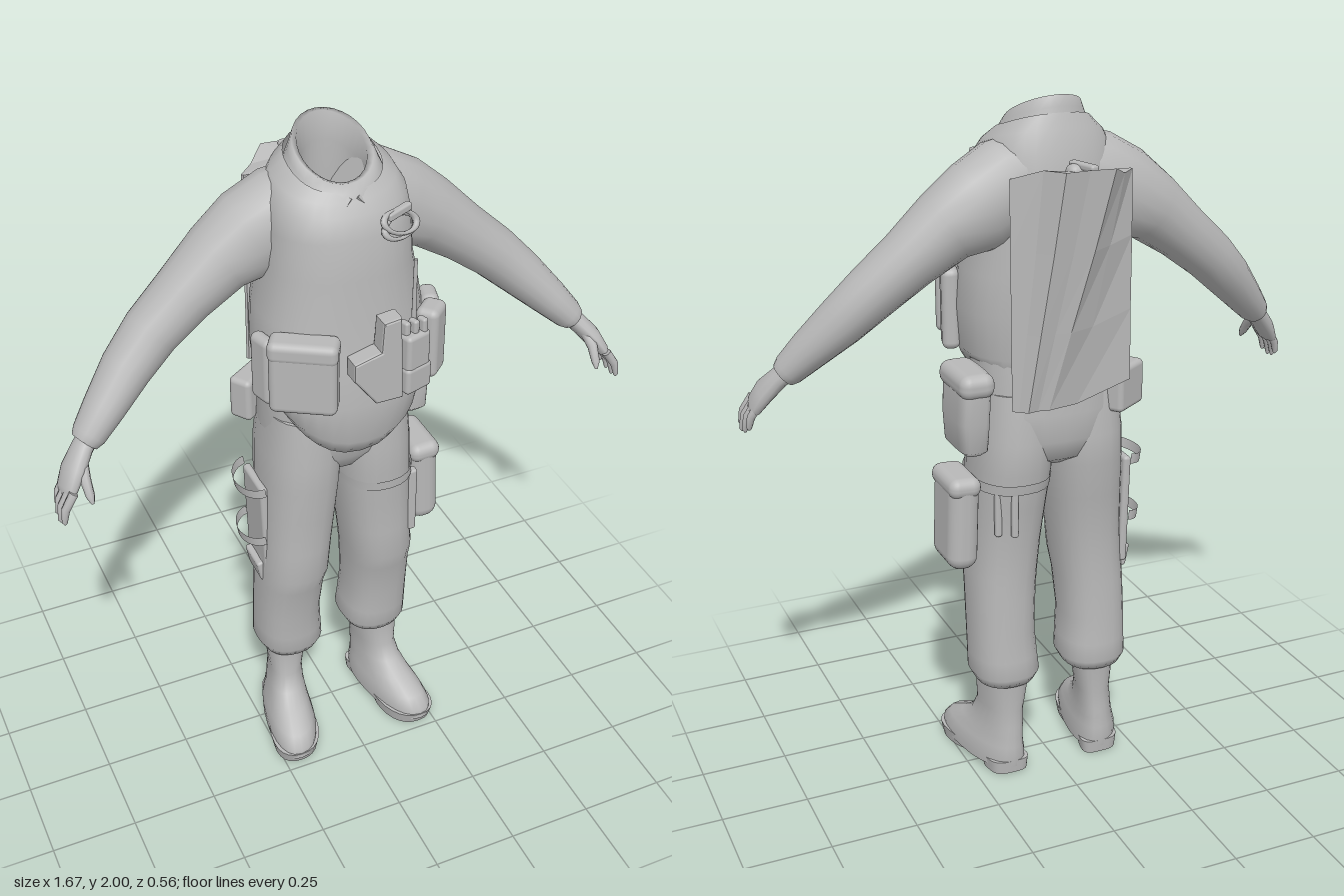
import * as THREE from 'three';
import { RoundedBoxGeometry } from 'three/addons/geometries/RoundedBoxGeometry.js';

const V = (x, y, z) => new THREE.Vector3(x, y, z);
const grey = new THREE.MeshStandardMaterial({ color: 0xb8b8b8, side: THREE.DoubleSide });
grey.name = 'grey';

// Skin a list of closed rings, with optional end caps
function skin(rings, capStart = true, capEnd = true) {
  const n = rings[0].length, pos = [], idx = [];
  rings.forEach(r => r.forEach(p => pos.push(p.x, p.y, p.z)));
  for (let i = 0; i < rings.length - 1; i++) for (let j = 0; j < n; j++) {
    const a = i * n + j, b = i * n + (j + 1) % n;
    idx.push(a, a + n, b, b, a + n, b + n);
  }
  const cap = (k, flip) => {
    const c = V(0, 0, 0);
    rings[k].forEach(p => c.addScaledVector(p, 1 / n));
    const base = pos.length / 3;
    rings[k].forEach(p => pos.push(p.x, p.y, p.z));
    pos.push(c.x, c.y, c.z);
    for (let j = 0; j < n; j++) {
      const a = base + j, b = base + (j + 1) % n;
      flip ? idx.push(a, b, base + n) : idx.push(b, a, base + n);
    }
  };
  if (capStart) cap(0, true);
  if (capEnd) cap(rings.length - 1, false);
  const g = new THREE.BufferGeometry();
  g.setAttribute('position', new THREE.Float32BufferAttribute(pos, 3));
  g.setIndex(idx);
  g.computeVertexNormals();
  return g;
}

const pow = (v, e) => Math.sign(v) * Math.abs(v) ** e;

// Level sections, bottom to top: [y, centreX, halfWidth, zFront, zBack, tilt, bow]
function loft(sections, { s = 1, e = 0.85, n = 24, yaw = 0, caps = [true, true] } = {}) {
  return skin(sections.map(([y, cx, rx, f, b, tilt = 0, bow = 0]) => Array.from({ length: n }, (_, j) => {
    const a = j / n * Math.PI * 2, c = Math.cos(a), d = Math.sin(a);
    const z = (f + b) / 2 + (f - b) / 2 * pow(d, e);
    return V(s * cx + rx * pow(c, e) + s * yaw * z, y + tilt * d + bow * c * c, z);
  })), ...caps);
}

// Limb along a path: [x, y, z, radius in the limb's plane, radius across]
function limb(nodes, s = 1, n = 16) {
  const pts = nodes.map(p => V(s * p[0], p[1], p[2]));
  return skin(pts.map((p, i) => {
    const t = pts[Math.min(i + 1, pts.length - 1)].clone().sub(pts[Math.max(i - 1, 0)]).normalize();
    const u = t.clone().cross(V(0, 0, 1)).normalize(), v = u.clone().cross(t);
    return Array.from({ length: n }, (_, j) => {
      const a = j / n * Math.PI * 2;
      return p.clone().addScaledVector(u, Math.cos(a) * nodes[i][3]).addScaledVector(v, Math.sin(a) * nodes[i][4]);
    });
  }));
}

function flat(g) {
  const f = g.toNonIndexed();
  f.computeVertexNormals();
  return f;
}

export function createModel() {
  const model = new THREE.Group();
  const add = (name, geo, x = 0, y = 0, z = 0, rx = 0, ry = 0, rz = 0) => {
    const m = new THREE.Mesh(geo, grey);
    m.name = name;
    m.position.set(x, y, z);
    m.rotation.set(rx, ry, rz);
    model.add(m);
    return m;
  };
  const box = (name, w, h, d, x, y, z, ry = 0, rz = 0, r = 0.02) =>
    add(name, new RoundedBoxGeometry(w, h, d, 3, Math.min(r, w / 2.1, h / 2.1, d / 2.1)), x, y, z, 0, ry, rz);

  // Jacket with a hanging rounded hem, then an open collar turning inside
  add('jacket', loft([
    [1.20, 0, 0.19, 0.15, -0.12, -0.05, 0.09], [1.165, 0, 0.195, 0.20, -0.14, -0.04, 0.10],
    [1.20, 0, 0.21, 0.235, -0.15, -0.02, 0.08], [1.30, 0, 0.225, 0.24, -0.16], [1.42, 0, 0.235, 0.225, -0.165],
    [1.53, 0, 0.225, 0.21, -0.17], [1.66, 0, 0.20, 0.20, -0.17], [1.77, 0, 0.195, 0.19, -0.165],
    [1.84, 0, 0.185, 0.165, -0.15, -0.015], [1.885, 0, 0.16, 0.14, -0.13, -0.03],
    [1.915, 0, 0.122, 0.125, -0.115, -0.04]], { n: 32, caps: [true, false] }));
  add('collar', loft([
    [1.89, 0, 0.128, 0.145, -0.12, -0.045], [1.92, 0, 0.114, 0.132, -0.11, -0.05], [1.945, 0, 0.102, 0.112, -0.104, -0.055],
    [1.941, 0, 0.088, 0.094, -0.094, -0.055], [1.87, 0, 0.08, 0.085, -0.085, -0.05], [1.76, 0, 0.09, 0.09, -0.09]],
    { n: 28, e: 1, caps: [false, true] }));
  for (const s of [-1, 1]) {
    const flap = new THREE.Shape([[0.005, 0.02], [0.095, 0.1], [0.105, 0.05], [0.055, -0.025]].map(p => new THREE.Vector2(s * p[0], p[1])));
    add('collarFlap', new THREE.ExtrudeGeometry(flap, { depth: 0.01, bevelEnabled: false }), 0, 1.845, 0.15, -0.75, s * 0.5);
  }

  // Trousers
  add('trouserSeat', loft([[0.97, 0, 0.06, 0.05, -0.09], [1.0, 0, 0.14, 0.10, -0.14],
    [1.06, 0, 0.195, 0.14, -0.162], [1.14, 0, 0.212, 0.155, -0.165], [1.3, 0, 0.205, 0.15, -0.15]]));
  for (const s of [-1, 1]) {
    add('trouserLeg', loft([[0.33, 0.145, 0.06, 0.05, -0.10], [0.295, 0.14, 0.085, 0.07, -0.12],
      [0.325, 0.14, 0.101, 0.085, -0.135], [0.38, 0.142, 0.098, 0.09, -0.13], [0.46, 0.145, 0.095, 0.095, -0.125],
      [0.58, 0.14, 0.098, 0.115, -0.12], [0.64, 0.135, 0.1, 0.138, -0.12], [0.74, 0.127, 0.103, 0.135, -0.12],
      [0.86, 0.118, 0.108, 0.14, -0.135], [0.97, 0.11, 0.112, 0.147, -0.154], [1.06, 0.106, 0.112, 0.15, -0.158],
      [1.2, 0.1, 0.105, 0.14, -0.14]], { s }));

    // Boots with separate heel and sole
    add('boot', loft([[0.02, 0.163, 0.075, 0.235, -0.115], [0.055, 0.163, 0.076, 0.235, -0.118],
      [0.085, 0.162, 0.068, 0.205, -0.115], [0.115, 0.16, 0.06, 0.14, -0.112], [0.15, 0.158, 0.055, 0.085, -0.11],
      [0.2, 0.155, 0.052, 0.058, -0.105], [0.28, 0.152, 0.062, 0.055, -0.11], [0.36, 0.149, 0.066, 0.055, -0.115]], { s, yaw: 0.17 }));
    add('heel', loft([[0, 0.163, 0.055, -0.015, -0.112], [0.04, 0.163, 0.06, -0.005, -0.115]], { s, yaw: 0.17, e: 0.6 }));
    add('sole', loft([[0, 0.163, 0.07, 0.225, 0.04], [0.04, 0.163, 0.077, 0.237, 0.02]], { s, yaw: 0.17 }));

    // Sleeve and cuff
    add('sleeve', limb([[0.04, 1.80, -0.03, 0.11, 0.1], [0.12, 1.765, -0.04, 0.13, 0.112], [0.21, 1.715, -0.05, 0.128, 0.108],
      [0.3, 1.67, -0.045, 0.1, 0.1], [0.4, 1.59, -0.037, 0.083, 0.088], [0.5, 1.508, -0.024, 0.075, 0.08],
      [0.58, 1.432, 0, 0.067, 0.073], [0.66, 1.352, 0.038, 0.054, 0.062], [0.71, 1.3, 0.06, 0.044, 0.052],
      [0.725, 1.285, 0.065, 0.036, 0.042]], s));

    // Hand
    add('palm', limb([[0.7, 1.31, 0.055, 0.027, 0.034], [0.735, 1.275, 0.075, 0.027, 0.036],
      [0.77, 1.235, 0.1, 0.027, 0.05], [0.795, 1.195, 0.118, 0.02, 0.05], [0.805, 1.18, 0.122, 0.01, 0.04]], s, 12));
    for (let i = 0; i < 4; i++) {
      const z = 0.084 + i * 0.026, len = [0.8, 0.95, 1, 0.9][i];
      add('finger', limb([[0.79, 1.205, z, 0.013, 0.013], [0.79 + 0.03 * len, 1.205 - 0.045 * len, z + 0.006, 0.012, 0.012],
        [0.79 + 0.038 * len, 1.205 - 0.085 * len, z + 0.01, 0.008, 0.008], [0.79 + 0.037 * len, 1.205 - 0.093 * len, z + 0.01, 0.003, 0.003]], s, 8));
    }
    add('thumb', limb([[0.745, 1.26, 0.1, 0.016, 0.018], [0.752, 1.225, 0.145, 0.015, 0.015],
      [0.75, 1.19, 0.172, 0.012, 0.012], [0.748, 1.172, 0.182, 0.004, 0.004]], s, 8));
  }

  // Pouches round the waist
  box('largePouch', 0.18, 0.21, 0.075, -0.165, 1.415, 0.195, -0.55);
  box('largePouchFlap', 0.185, 0.06, 0.08, -0.165, 1.495, 0.195, -0.55);
  box('frontPouch', 0.08, 0.17, 0.055, 0.13, 1.41, 0.23, 0.3, 0, 0.012);
  box('frontPouchBand', 0.088, 0.08, 0.062, 0.13, 1.36, 0.23, 0.3, 0, 0.012);
  box('sidePouch', 0.085, 0.21, 0.065, 0.208, 1.42, 0.175, 0.75);
  box('rearPouch', 0.08, 0.23, 0.05, 0.237, 1.405, 0.1, 1.3);
  box('rearPouch', 0.08, 0.2, 0.04, -0.238, 1.4, 0.1, -1.3);
  add('radioAntenna', new THREE.CylinderGeometry(0.005, 0.007, 0.2, 8), 0.135, 1.6, 0.218);
  for (const x of [0.105, 0.13, 0.155]) box('radioKnob', 0.018, 0.05, 0.03, x, 1.505, 0.23, 0.3, 0, 0.007);

  // Pistol holster on the belly
  const holster = new THREE.Shape([[0.03, 1.56], [0.07, 1.565], [0.078, 1.33], [0.01, 1.33], [-0.05, 1.41], [-0.05, 1.455], [0.025, 1.475]]
    .map(p => new THREE.Vector2(...p)));
  add('holster', new THREE.ExtrudeGeometry(holster, { depth: 0.04, bevelSize: 0.006, bevelThickness: 0.008, bevelSegments: 2 }), 0, 0, 0.226);

  // Coiled cord on the chest
  for (let i = 0; i < 2; i++) {
    const coil = add('chestCord', new THREE.TorusGeometry(0.045, 0.008, 8, 24), 0.11, 1.79 - i * 0.012, 0.175, -0.5, 0.35, -0.15 + i * 0.3);
    coil.scale.set(1.25, 0.65, 1);
  }
  box('chestClip', 0.08, 0.022, 0.02, 0.11, 1.815, 0.165, 0.35, 0.1, 0.006);

  // Left hip and thigh pouches
  add('hipPouch', loft([[1.05, 0.26, 0.025, 0, -0.14], [1.065, 0.262, 0.04, 0.015, -0.16], [1.15, 0.264, 0.046, 0.01, -0.17],
    [1.25, 0.26, 0.045, 0.01, -0.175], [1.285, 0.255, 0.035, 0, -0.165]], { e: 0.45 }));
  box('hipPouchFlap', 0.1, 0.07, 0.2, 0.26, 1.255, -0.082, 0, 0, 0.03);
  box('thighPouch', 0.09, 0.28, 0.175, 0.275, 0.825, -0.015, 0, 0.04, 0.04);
  box('thighPouchLid', 0.095, 0.06, 0.18, 0.272, 0.935, -0.015, 0, 0.04, 0.028);
  box('thighTool', 0.03, 0.22, 0.028, 0.21, 0.81, 0.095, 0, 0, 0.008);
  for (const [x, z] of [[0.185, -0.11], [0.145, -0.135]]) box('rearTool', 0.02, 0.15, 0.02, x, 0.86, z, 0, 0, 0.007);

  // Thigh strap
  add('thighStrap', loft([[0.915, 0.116, 0.113, 0.148, -0.15], [0.945, 0.114, 0.115, 0.15, -0.155]], { caps: [false, false] }));

  // Right leg rig with open loops
  box('legRig', 0.024, 0.33, 0.14, -0.224, 0.785, -0.02, 0, 0.03, 0.01);
  for (const [y, r] of [[0.95, 0.06], [0.77, 0.055]]) {
    const loop = add('rigLoop', new THREE.CylinderGeometry(r, r, 0.03, 16, 1, true, Math.PI, Math.PI), -0.23, y, -0.02, 0, 0, 0.15);
    loop.scale.z = 1.4;
  }
  box('rigFoot', 0.025, 0.07, 0.1, -0.232, 0.63, -0.02, 0, 0.2, 0.008);
  box('rearHipPouch', 0.13, 0.13, 0.07, -0.195, 1.185, -0.11, 0.6, 0, 0.015);

  // Flat back panel under a wedge that tapers and slants down to the left: [y, front z, back z, slant]
  const pack = [[1.185, -0.19, -0.225, 1], [1.4, -0.185, -0.245, 0.66], [1.62, -0.185, -0.265, 0.3], [1.81, -0.18, -0.285, 0]];
  add('backPack', flat(skin(pack.map(([y, f, b, k], i) => {
    const m = (f + b) / 2, top = i === 3 ? 0.025 : 0;
    return [[0.175, f - 0.006], [0.17, f], [-0.17, f], [-0.175, f - 0.006], [-0.13 + 0.12 * k, m],
      [-0.08 + 0.16 * k, b], [-0.01 + 0.12 * k, b + 0.006], [0.06 + 0.08 * k, b], [0.1 + 0.06 * k, m]]
      .map(([x, z], j) => V(x, y + (j > 4 ? top : 0) + (x < -0.1 ? 0.045 * k : 0), z));
  }))));
  box('packStrap', 0.025, 0.02, 0.1, -0.015, 1.835, -0.225, 0.25, 0, 0.008);
  box('packRoll', 0.07, 0.05, 0.05, -0.01, 1.815, -0.21, 0, 0, 0.02);
  return model;
}
